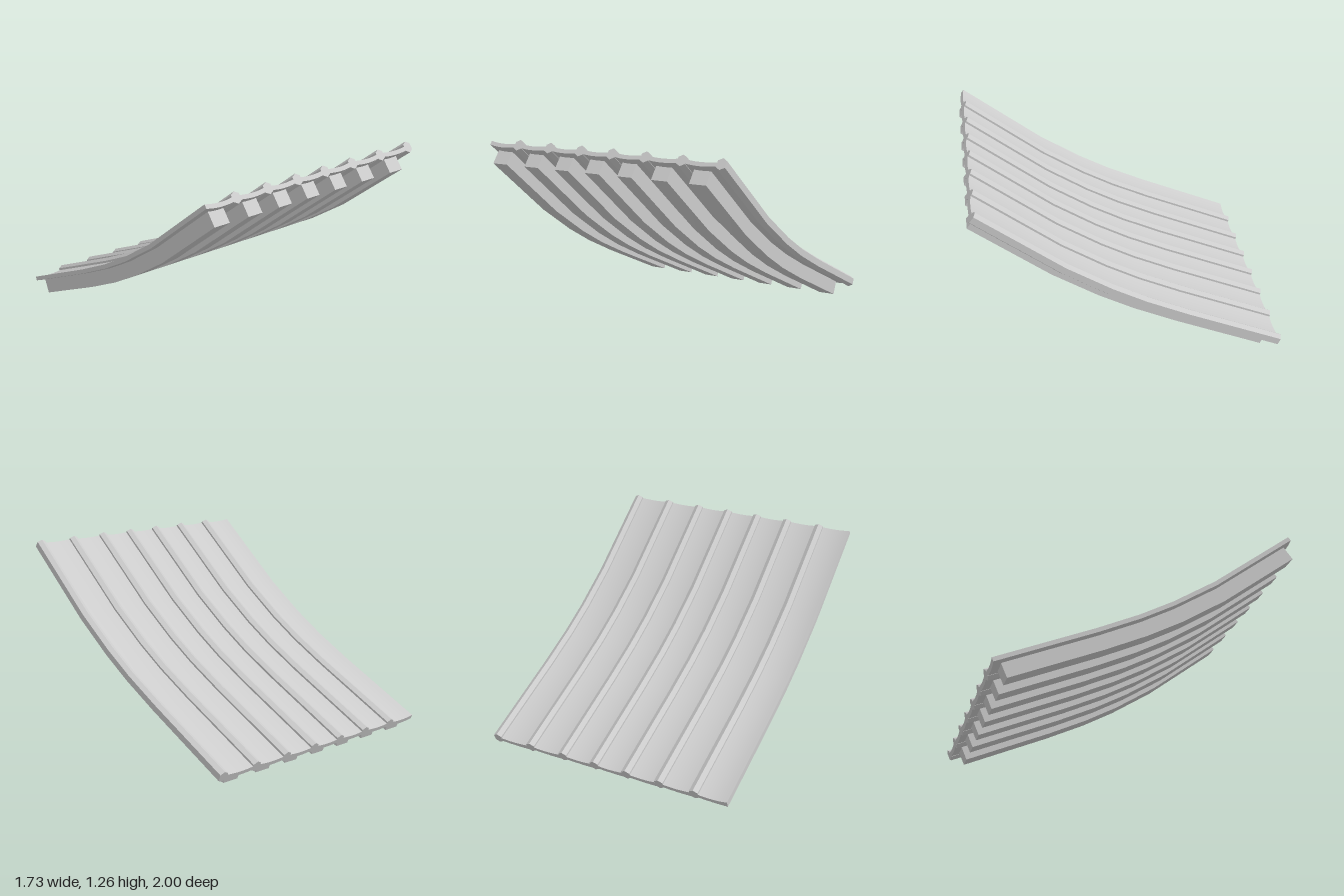
import * as THREE from 'three';
import { toCreasedNormals } from 'three/addons/utils/BufferGeometryUtils.js';

// Roof slope as [z, y], from the high front end to the low back end
const SLOPE = [[0.964, 1.225], [0.427, 0.806], [0.14, 0.619], [-0.081, 0.496], [-0.353, 0.366], [-0.984, 0.089]]
  .map(([z, y]) => new THREE.Vector2(z, y));
const RIBS = [-0.64, -0.395, -0.157, 0.077, 0.317, 0.57, 0.833];
const BEAMS = [[-0.828, -0.715], [-0.572, -0.465], [-0.333, -0.228], [-0.1, 0.003],
  [0.138, 0.24], [0.378, 0.488], [0.638, 0.752]];

// Sweeps a counterclockwise section of [x, height above slope] down the slope,
// with both ends shortened by inset
function sweep(section, inset = 0) {
  const n = SLOPE.length, m = section.length;
  const rings = SLOPE.map((p, i) => {
    const tangent = new THREE.Vector2();
    if (i > 0) tangent.add(SLOPE[i - 1].clone().sub(p).normalize());
    if (i < n - 1) tangent.add(p.clone().sub(SLOPE[i + 1]).normalize());
    tangent.normalize();
    const shift = i === 0 ? -inset : i === n - 1 ? inset : 0;
    const c = p.clone().addScaledVector(tangent, shift);
    return section.map(([x, v]) => [x, c.y + tangent.x * v, c.x - tangent.y * v]);
  });
  const index = [];
  for (let i = 0; i < n - 1; i++) {
    for (let j = 0; j < m; j++) {
      const a = i * m + j, b = i * m + (j + 1) % m;
      index.push(a, a + m, b, b, a + m, b + m);
    }
  }
  // End caps
  const last = (n - 1) * m;
  const outline = section.map(([x, v]) => new THREE.Vector2(x, v));
  for (const [a, b, c] of THREE.ShapeUtils.triangulateShape(outline, [])) {
    index.push(a, b, c, last + a, last + c, last + b);
  }
  const geometry = new THREE.BufferGeometry();
  geometry.setAttribute('position', new THREE.Float32BufferAttribute(rings.flat(2), 3));
  geometry.setIndex(index);
  return toCreasedNormals(geometry, 0.45);
}

// Thin sheet sagging gently between two ribs
function panelSection(x0, x1, steps = 8) {
  const top = [], bottom = [];
  for (let i = 0; i <= steps; i++) {
    const t = i / steps;
    const v = 0.014 - 0.013 * 4 * t * (1 - t);
    const x = x0 + (x1 - x0) * t;
    bottom.push([x, v - 0.028]);
    top.unshift([x, v]);
  }
  return [...bottom, ...top];
}

// Upright six-sided rib
const ribSection = (x) => [[x, -0.039], [x + 0.03, -0.022], [x + 0.03, 0.022],
  [x, 0.039], [x - 0.03, 0.022], [x - 0.03, -0.022]];

const beamSection = ([x0, x1]) => [[x0, -0.12], [x1, -0.12], [x1, -0.015], [x0, -0.015]];

export function createModel() {
  const model = new THREE.Group();
  model.name = 'curvedRoof';
  const material = new THREE.MeshStandardMaterial({ color: 0xcccccc });
  const add = (name, geometry) => {
    const mesh = new THREE.Mesh(geometry, material);
    mesh.name = name;
    model.add(mesh);
  };

  const edges = [-0.868, ...RIBS];
  RIBS.forEach((x, i) => {
    add(`roofPanel${i + 1}`, sweep(panelSection(edges[i], x)));
    add(`rib${i + 1}`, sweep(ribSection(x)));
    add(`rafter${i + 1}`, sweep(beamSection(BEAMS[i]), 0.053));
  });
  return model;
}
